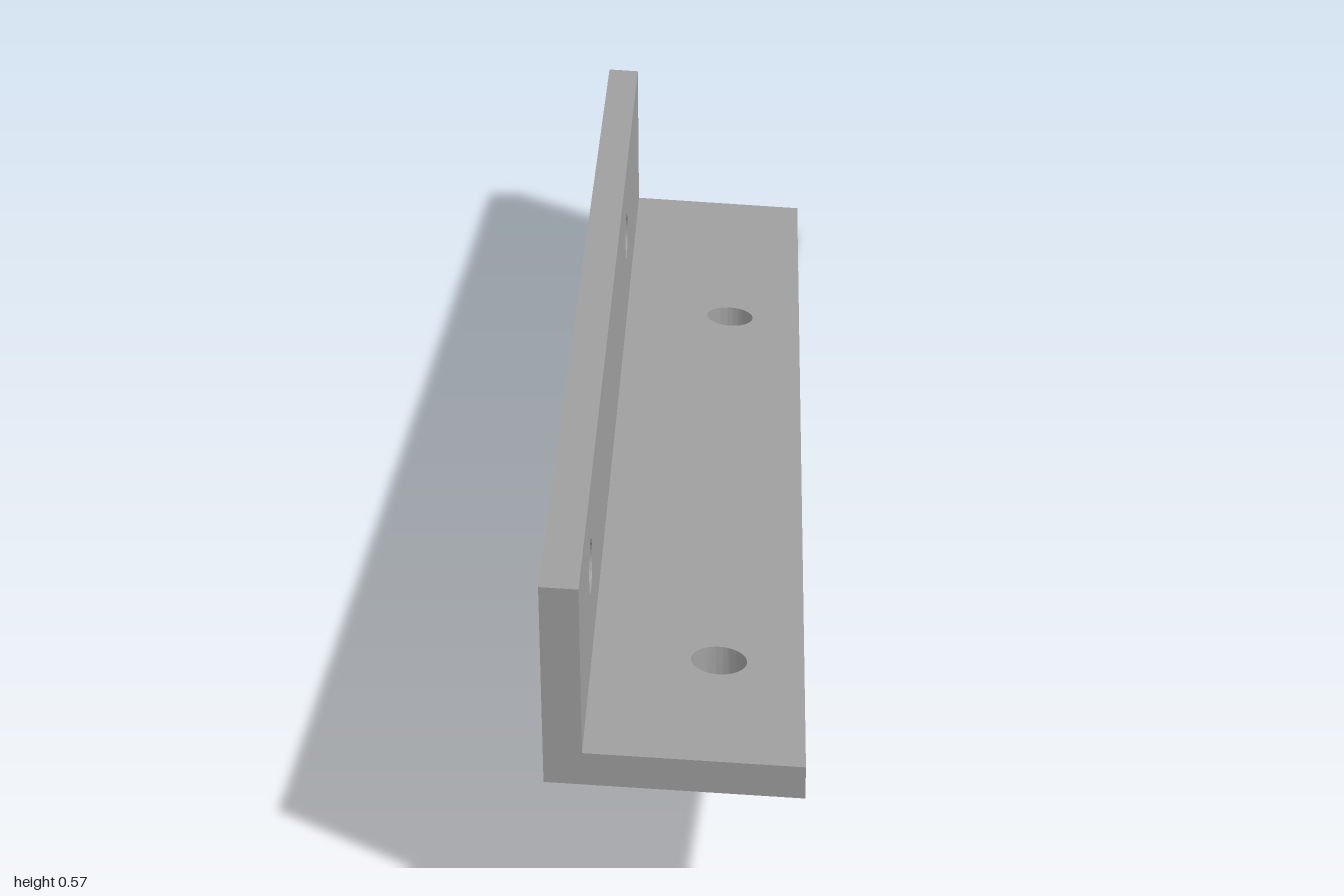
import * as THREE from 'three';
import { toCreasedNormals } from 'three/addons/utils/BufferGeometryUtils.js';

const HALF_LENGTH = 1.0265, HALF_WIDTH = 0.178;
const THICK = 0.053, HEIGHT = 0.32, HOLE_RADIUS = 0.04;
const SLOPE_X = 0.112, SLOPE_Z = 0.062, BASE_Y = 0.126; // tilt of the underside
const HOLE_X = [-0.4855, 0.7485];

// Four-cornered plate with two round holes, adjusted by a rule for each vertex
function drilledPlate(corners, holeY, place, adjust) {
  const shape = new THREE.Shape(corners.map(([x, y]) => new THREE.Vector2(x, y)));
  for (const x of HOLE_X) {
    shape.holes.push(new THREE.Path().absarc(x, holeY(x), HOLE_RADIUS, 0, Math.PI * 2, true));
  }
  const geometry = new THREE.ExtrudeGeometry(shape, { depth: THICK, bevelEnabled: false, curveSegments: 40 });
  place(geometry);
  const p = geometry.attributes.position;
  const v = new THREE.Vector3();
  for (let i = 0; i < p.count; i++) {
    v.fromBufferAttribute(p, i);
    adjust(v, Math.abs(v.x) < HALF_LENGTH - 0.01);
    p.setXYZ(i, v.x, v.y, v.z);
  }
  return toCreasedNormals(geometry, Math.PI / 6);
}

export function createModel() {
  const group = new THREE.Group();
  group.name = 'angleBracket';
  const metal = new THREE.MeshStandardMaterial({ color: 0xa0a0a0 });
  metal.name = 'grey metal';

  const L = HALF_LENGTH, W = HALF_WIDTH;
  const rise = x => SLOPE_X * x;

  // Sloping base flange, drilled square to its surface
  const base = drilledPlate(
    [[-L, -W], [L, -W], [L, W], [-L, W]],
    () => 0.056,
    g => g.rotateX(-Math.PI / 2),
    (v, isHole) => {
      if (isHole) {
        const depth = THICK - v.y;
        v.x += SLOPE_X * depth;
        v.z += SLOPE_Z * depth;
      }
      v.y += BASE_Y + rise(v.x) + SLOPE_Z * v.z;
    }
  );

  // Upright flange, drilled horizontally
  const upright = drilledPlate(
    [[-L, rise(-L) + THICK], [L, rise(L) + THICK], [L, rise(L) + HEIGHT], [-L, rise(-L) + HEIGHT]],
    x => rise(x) + 0.197,
    g => g.translate(0, 0, W - THICK),
    (v, isHole) => {
      v.y += BASE_Y + SLOPE_Z * (isHole ? W : v.z);
    }
  );

  for (const [name, geometry] of [['baseFlange', base], ['uprightFlange', upright]]) {
    const mesh = new THREE.Mesh(geometry, metal);
    mesh.name = name;
    group.add(mesh);
  }

  // Turn the long axis across the ground plane
  group.rotation.y = -1.117;
  return group;
}
